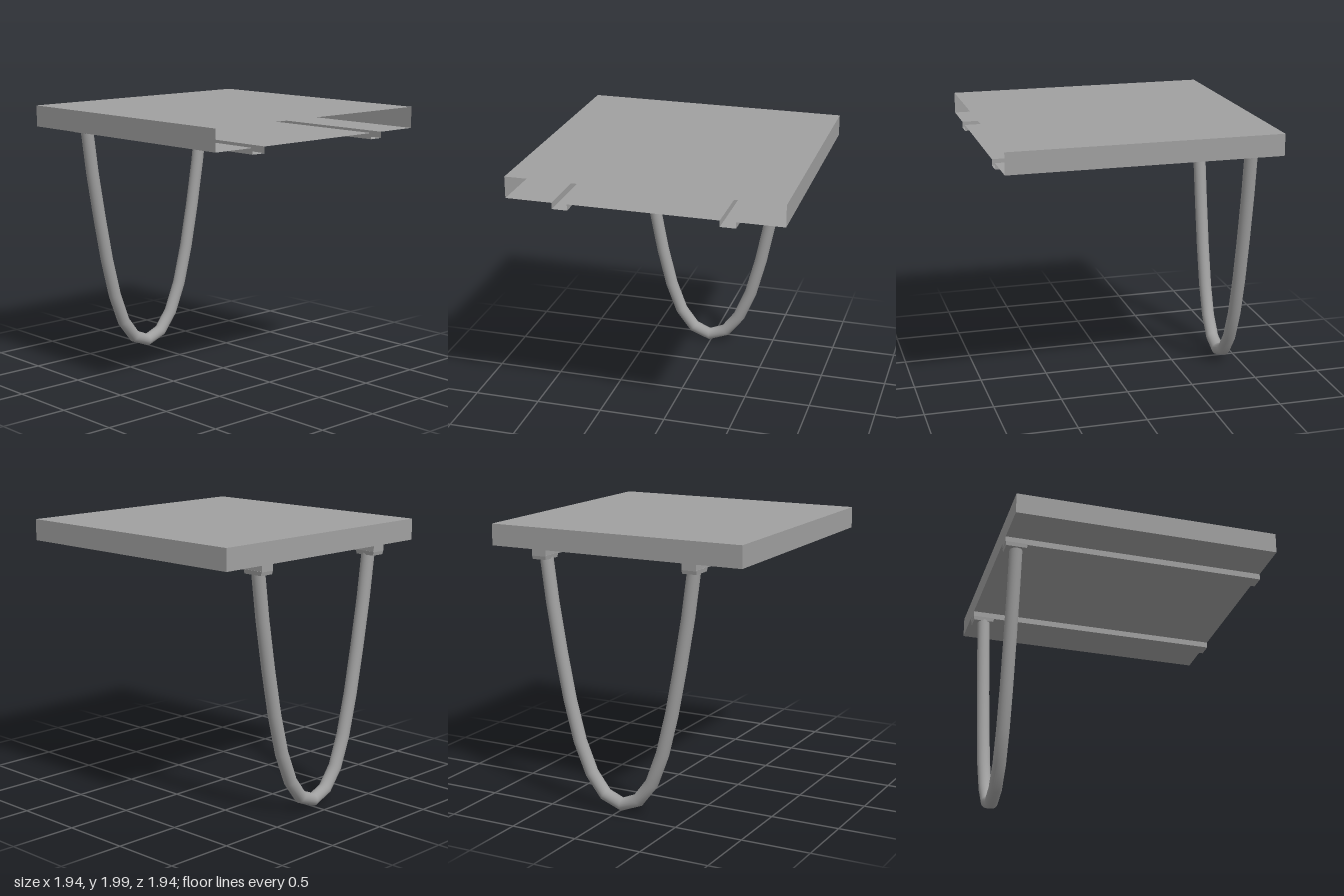
import * as THREE from 'three';

const HALF = 0.972, TOP = 2, FLOOR = 1.845, CHANNEL = 1.8;
const CH_IN = 0.53, CH_OUT = 0.64, LEG_X = -0.882, LEG_R = 0.0475;

// Straight-segment path whose samples fall exactly on the given points
class KinkedPath extends THREE.Curve {
  constructor(points) {
    super();
    this.points = points;
  }
  getPoint(t, target = new THREE.Vector3()) {
    const f = t * (this.points.length - 1);
    const i = Math.min(Math.floor(f + 1e-6), this.points.length - 2);
    return target.lerpVectors(this.points[i], this.points[i + 1], f - i);
  }
  getPointAt(u, target) {
    return this.getPoint(u, target);
  }
  getTangentAt(u, target = new THREE.Vector3()) {
    // average of the two neighbouring segment directions
    const n = this.points.length - 1, i = Math.round(u * n), p = this.points;
    target.set(0, 0, 0);
    if (i > 0) target.add(p[i].clone().sub(p[i - 1]).normalize());
    if (i < n) target.add(p[i + 1].clone().sub(p[i]).normalize());
    return target.normalize();
  }
}

// Thin sheet: a closed (z, y) profile swept along x, without end faces
function sweptSheet(profile, x0, x1) {
  const pos = [];
  profile.forEach(([z, y], i) => {
    const [z2, y2] = profile[(i + 1) % profile.length];
    pos.push(x0, y, z, x1, y, z, x1, y2, z2, x0, y, z, x1, y2, z2, x0, y2, z2);
  });
  const g = new THREE.BufferGeometry();
  g.setAttribute('position', new THREE.Float32BufferAttribute(pos, 3));
  g.computeVertexNormals();
  return g;
}

export function createModel() {
  const model = new THREE.Group();
  const mat = new THREE.MeshStandardMaterial({ color: 0xa0a0a0, side: THREE.DoubleSide });
  const add = (name, geometry) => {
    const mesh = new THREE.Mesh(geometry, mat);
    mesh.name = name;
    model.add(mesh);
    return mesh;
  };

  // Hollow tabletop with two channels folded into its underside
  const half = [[HALF, TOP], [HALF, FLOOR], [CH_OUT, FLOOR], [CH_OUT, CHANNEL], [CH_IN, CHANNEL], [CH_IN, FLOOR]];
  const profile = [...half, ...half.map(([z, y]) => [-z, y]).reverse()];
  add('tabletop', sweptSheet(profile, -HALF, HALF));

  // End wall on the leg side; the other end stays open
  const wall = new THREE.ShapeGeometry(new THREE.Shape(profile.map(([z, y]) => new THREE.Vector2(z, y))));
  wall.rotateY(-Math.PI / 2);
  add('endWall', wall).position.x = -HALF;

  // Tapered sockets where the leg meets the channels
  for (const side of [1, -1]) {
    const socket = new THREE.BoxGeometry(0.162, 0.03, 0.114);
    const p = socket.attributes.position;
    for (let i = 0; i < p.count; i++) {
      if (p.getY(i) < 0) p.setXYZ(i, p.getX(i) * 0.93, p.getY(i), p.getZ(i) * 0.93);
    }
    socket.computeVertexNormals();
    add('legSocket', socket).position.set(-0.89, 1.79, side * 0.586);
  }

  // Single bent-tube leg, its lowest bend slightly forward of centre
  const path = [
    [0.586, 1.84], [0.535, 1.46], [0.475, 1.11], [0.41, 0.77], [0.337, 0.475], [0.252, 0.25], [0.143, 0.108],
    [0.012, 0.055],
    [-0.125, 0.108], [-0.235, 0.25], [-0.329, 0.475], [-0.407, 0.77], [-0.475, 1.11], [-0.535, 1.46], [-0.586, 1.84],
  ].map(([z, y]) => new THREE.Vector3(LEG_X, y, z));
  add('leg', new THREE.TubeGeometry(new KinkedPath(path), path.length - 1, LEG_R, 20, false));

  // Caps on the leg's upper ends
  for (const side of [1, -1]) {
    const cap = add('legCap', new THREE.CircleGeometry(LEG_R, 20));
    cap.position.set(LEG_X, 1.84, side * 0.586);
    cap.rotation.x = -Math.PI / 2 + side * 0.133;
  }
  return model;
}
